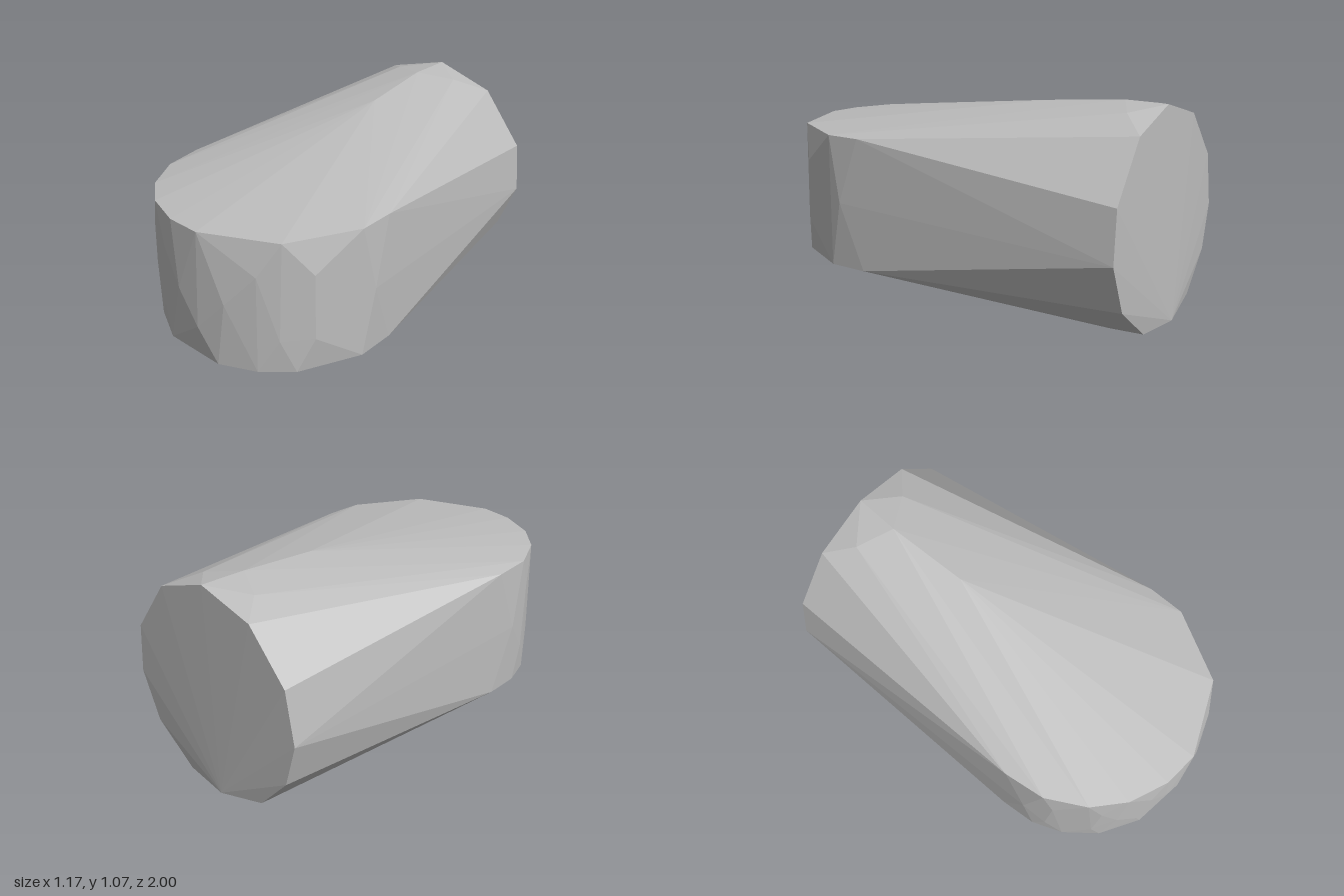
import * as THREE from 'three';
import { ConvexGeometry } from 'three/addons/geometries/ConvexGeometry.js';

const NOSE_Z = 0.41; // centre of the rounded nose in plan

// Points on the nose arc at height y, given by their x positions
function noseArc(xs, y, radius) {
  return xs.map((x) => new THREE.Vector3(x, y, NOSE_Z + Math.sqrt(Math.max(0, radius * radius - x * x))));
}

export function createModel() {
  const group = new THREE.Group();
  group.name = 'facetedBody';
  const grey = new THREE.MeshStandardMaterial({ color: 0xbcbcbc, flatShading: true });
  grey.name = 'plain grey';

  const points = [
    // Upper and lower rims of the nose
    ...noseArc([-0.56, -0.47, -0.34, -0.16, 0.01, 0.37, 0.565], 0.863, 0.58),
    ...noseArc([-0.57, -0.52, -0.41, -0.23, 0.09, 0.27, 0.41, 0.565], 0.215, 0.58),
    // Slightly bulging nose wall
    ...noseArc([-0.55, -0.43, -0.23, 0.28, 0.47], 0.7, 0.586),
    ...noseArc([-0.585, -0.37, -0.12, 0.14, 0.585], 0.54, 0.588),
    ...noseArc([-0.56, -0.45, -0.27, -0.01, 0.36, 0.47], 0.38, 0.586),
  ];

  const add = (list) => list.forEach((p) => points.push(new THREE.Vector3(...p)));

  // Rear ends of the rims
  for (const side of [-1, 1]) add([[side * 0.575, 0.863, 0.36], [side * 0.575, 0.215, 0.34]]);

  // Round tail face
  add([
    [0.31, 0.97, -0.97], [0.02, 1.07, -0.97], [-0.28, 0.99, -0.97], [-0.486, 0.76, -0.97],
    [-0.534, 0.5, -0.97], [-0.47, 0.28, -0.97], [-0.3, 0.095, -0.97], [-0.05, 0.04, -1],
    [0.2, 0.045, -0.97], [0.43, 0.215, -0.97], [0.53, 0.45, -0.97], [0.51, 0.7, -0.97],
  ]);

  // Crown and keel points
  add([
    [0.17, 1.04, -0.84], [-0.17, 1.04, -0.84], [0, 1.07, -0.75], [0, 1.035, -0.35],
    [0.05, 0, -0.83], [-0.17, 0.03, -0.84], [0.2, 0.04, -0.8], [0, 0.014, -0.6], [0, 0.036, -0.35],
  ]);

  const body = new THREE.Mesh(new ConvexGeometry(points), grey);
  body.name = 'body';
  group.add(body);
  return group;
}
